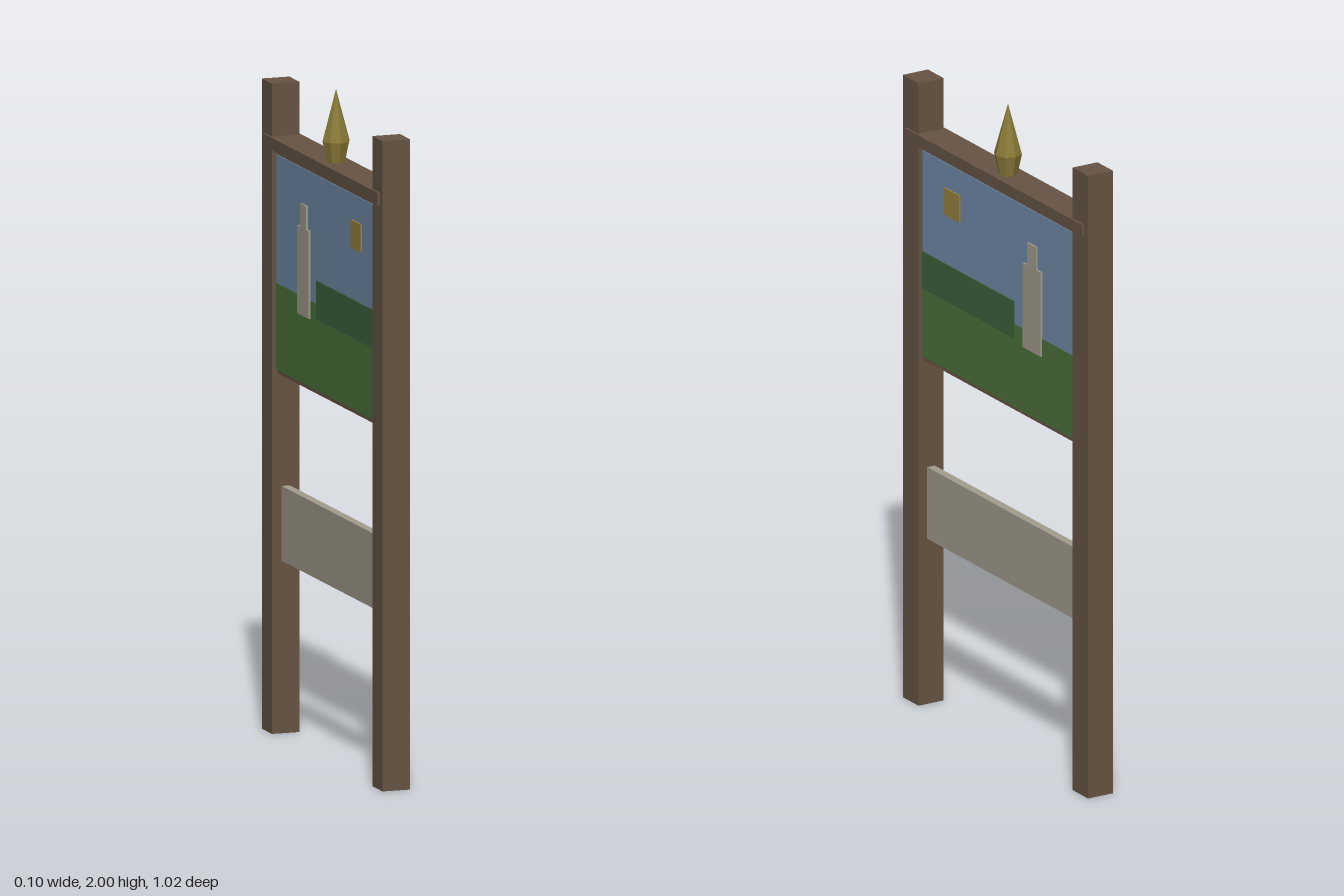
import * as THREE from 'three';

const material = (name, color) => {
  const m = new THREE.MeshStandardMaterial({ color });
  m.name = name;
  return m;
};

export function createModel() {
  const wood = material('brown wood', 0x675544);
  const stone = material('pale grey', 0xa39d8e);
  const sky = material('sky blue', 0x718caa);
  const grass = material('grass green', 0x4e753d);
  const hill = material('dark green', 0x3d643d);
  const ochre = material('ochre', 0x9a8440);
  const gold = material('old gold', 0x8a7a38);
  gold.flatShading = true;

  const sign = new THREE.Group();
  sign.name = 'signboard';

  // Box given by half depth in x, and ranges in y and z
  const block = (name, mat, halfX, y0, y1, z0, z1, x = 0) => {
    const mesh = new THREE.Mesh(new THREE.BoxGeometry(halfX * 2, y1 - y0, z1 - z0), mat);
    mesh.name = name;
    mesh.position.set(x, (y0 + y1) / 2, (z0 + z1) / 2);
    sign.add(mesh);
  };

  // Frame: two posts, a cap rail passing through them, the board and the lower plank
  block('frontPost', wood, 0.043, 0, 1.94, 0.425, 0.511);
  block('backPost', wood, 0.043, 0, 1.94, -0.511, -0.425);
  block('topRail', wood, 0.05, 1.745, 1.782, -0.488, 0.488);
  block('board', wood, 0.026, 1.075, 1.747, -0.427, 0.427);
  block('lowerPlank', stone, 0.013, 0.515, 0.738, -0.427, 0.427);

  // Painted landscape on both faces, each layer a little prouder than the last
  const layers = [
    ['sky', sky, 0.003, 1.345, 1.728, -0.425, 0.425],
    ['meadow', grass, 0.004, 1.087, 1.345, -0.425, 0.425],
    ['hill', hill, 0.006, 1.30, 1.415, -0.083, 0.425],
    ['towerBase', stone, 0.009, 1.29, 1.553, -0.236, -0.136],
    ['towerTop', stone, 0.009, 1.553, 1.623, -0.21, -0.16],
    ['sun', ochre, 0.008, 1.568, 1.652, 0.215, 0.30],
  ];
  for (const side of [1, -1]) {
    for (const [name, mat, t, ...range] of layers) {
      block(name, mat, t / 2, ...range, side * (0.026 + t / 2));
    }
  }

  // Faceted spearhead finial on the rail
  const profile = [[0, 1.78], [0.028, 1.78], [0.042, 1.845], [0, 2]];
  const finial = new THREE.Mesh(
    new THREE.LatheGeometry(profile.map(([r, y]) => new THREE.Vector2(r, y)), 8), gold);
  finial.name = 'finial';
  sign.add(finial);

  return sign;
}
